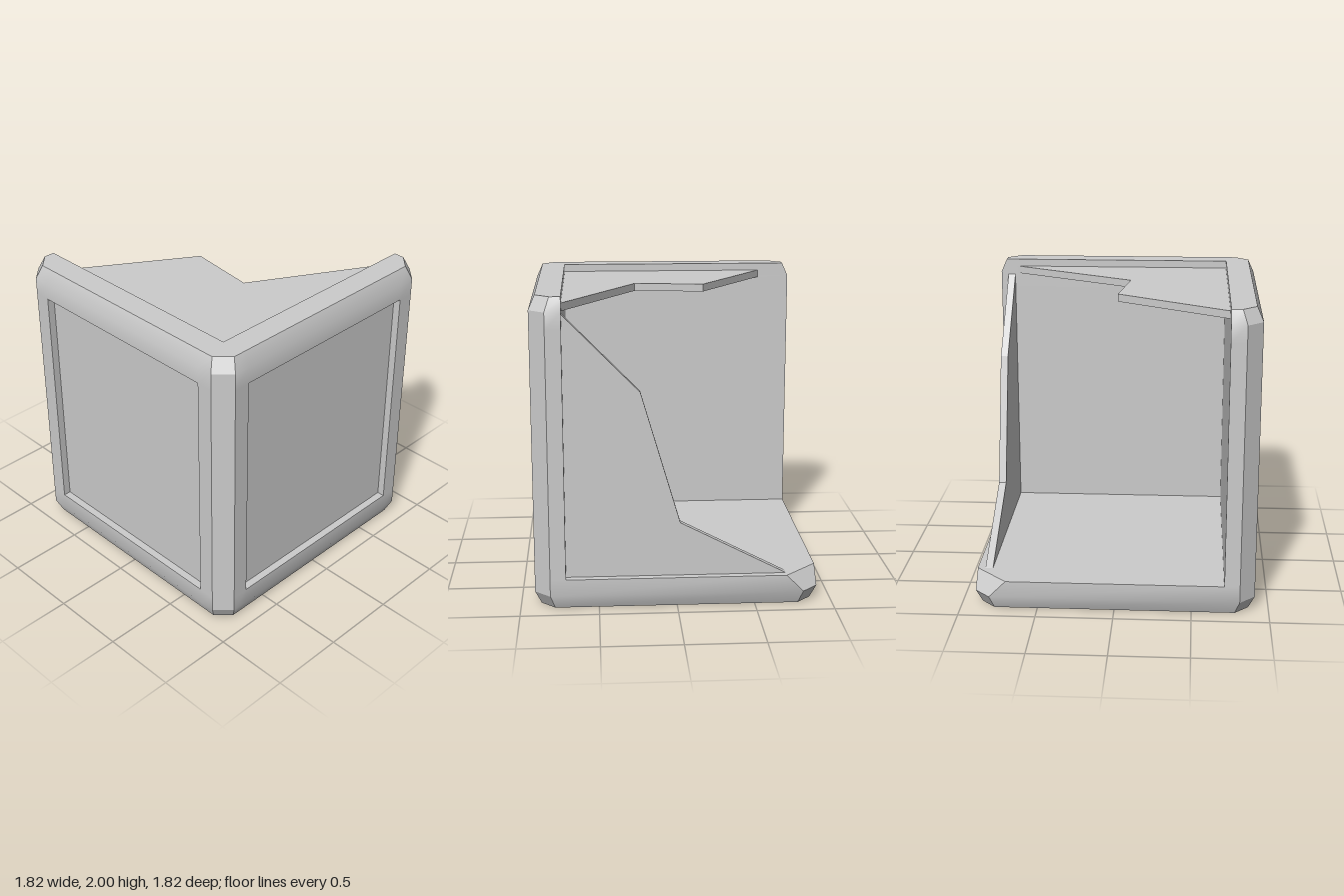
import * as THREE from 'three';
import { toCreasedNormals } from 'three/addons/utils/BufferGeometryUtils.js';

const P = 0.7;      // half size of the recessed panels
const IN = 0.71;    // inner face of the thick walls
const DEPTH = 0.05; // recess depth

const material = () => new THREE.MeshStandardMaterial({ color: 0xcccccc });

// Collects quads and flat caps, then makes one creased mesh
class Surface {
  constructor() { this.pos = []; }
  tri(...pts) { for (const p of pts) this.pos.push(...p); }
  quad(a, b, c, d) { this.tri(a, b, c); this.tri(a, c, d); }
  // Joins matching [x, z] outlines at rising heights
  loft(levels, skip = () => false) {
    for (let l = 0; l + 1 < levels.length; l++) {
      const { y: y0, ring: r0 } = levels[l], { y: y1, ring: r1 } = levels[l + 1];
      r0.forEach(([x, z], i) => {
        if (skip(l, i)) return;
        const j = (i + 1) % r0.length;
        this.quad([x, y0, z], [r0[j][0], y0, r0[j][1]], [r1[j][0], y1, r1[j][1]], [r1[i][0], y1, r1[i][1]]);
      });
    }
  }
  cap(ring, y, up, hole) {
    const flat = (r) => r.map(([x, z]) => new THREE.Vector2(x, -z));
    const all = hole ? [...ring, ...hole] : ring;
    for (const f of THREE.ShapeUtils.triangulateShape(flat(ring), hole ? [flat(hole)] : [])) {
      const t = f.map((k) => [all[k][0], y, all[k][1]]);
      this.tri(...(up ? t : t.reverse()));
    }
  }
  // Sunken panel: four side walls and a back
  recess(corners, inward) {
    const deep = corners.map((c) => c.map((v, k) => v + inward[k]));
    corners.forEach((c, i) => {
      const j = (i + 1) % 4;
      this.quad(c, corners[j], deep[j], deep[i]);
    });
    this.quad(...deep);
  }
  mesh(name) {
    const g = new THREE.BufferGeometry();
    g.setAttribute('position', new THREE.Float32BufferAttribute(this.pos, 3));
    const m = new THREE.Mesh(toCreasedNormals(g, 0.5), material());
    m.name = name;
    return m;
  }
}

// Chamfered outer corner run along the front and right sides
const outerRun = (h, c) => [
  [-h, h - c], [-h + c, h], [-P, h], [P, h], [h - c, h],
  [h, h - c], [h, P], [h, -P], [h, -h + c], [h - c, -h],
];
const wallRing = (h, c) => [[-h, IN], ...outerRun(h, c), [IN, -h], [IN, IN]];
const floorRing = (h, c, cut = c) => [...outerRun(h, c), [-h + cut, -h], [-h, -h + cut]];

// Floor slab with one broken corner and a recess underneath
function makeFloor() {
  const s = new Surface();
  const levels = [
    { y: 0, ring: floorRing(0.87, 0.09) },
    { y: 0.09, ring: floorRing(0.91, 0.1) },
    { y: 0.2, ring: floorRing(0.91, 0.1, 0.21) },
  ];
  const hole = [[-P, -P], [P, -P], [P, P], [-P, P]];
  s.loft(levels);
  s.cap(levels[0].ring, 0, false, hole);
  s.cap(levels[2].ring, 0.2, true);
  s.recess(hole.map(([x, z]) => [x, 0, z]), [0, DEPTH, 0]);
  return s.mesh('floor');
}

// Front and right walls, joined at the chamfered corner
function makeWalls() {
  const s = new Surface();
  const full = wallRing(0.91, 0.1), top = wallRing(0.87, 0.09);
  s.loft([
    { y: 0.2, ring: full }, { y: 1.8, ring: full },
    { y: 1.91, ring: full }, { y: 2, ring: top },
  ], (l, i) => l === 0 && (i === 3 || i === 7));
  s.cap(top, 2, true);
  const rect = [[-P, 0.2], [P, 0.2], [P, 1.8], [-P, 1.8]];
  s.recess(rect.map(([x, y]) => [x, y, 0.91]), [0, 0, -DEPTH]);
  s.recess(rect.map(([u, y]) => [0.91, y, -u]), [-DEPTH, 0, 0]);
  return s.mesh('frontAndRightWalls');
}

// Thin broken panel
function makePanel(name, points) {
  const shape = new THREE.Shape(points.map(([x, y]) => new THREE.Vector2(x, y)));
  const m = new THREE.Mesh(new THREE.ExtrudeGeometry(shape, { depth: 0.05, bevelEnabled: false }), material());
  m.name = name;
  return m;
}

export function createModel() {
  const group = new THREE.Group();
  group.name = 'brokenCrate';

  const back = makePanel('brokenBackPanel', [[-0.7, 0.2], [0.72, 0.2], [0.72, 1.9], [0.23, 1.4], [-0.02, 0.55]]);
  back.position.z = -0.86;

  const top = makePanel('brokenTopPanel', [[-0.69, -0.71], [0.71, -0.71], [0.72, 0.81], [0.23, -0.05], [-0.23, 0.01]]);
  top.rotation.x = -Math.PI / 2;
  top.position.y = 1.9;

  group.add(makeFloor(), makeWalls(), back, top);
  return group;
}
